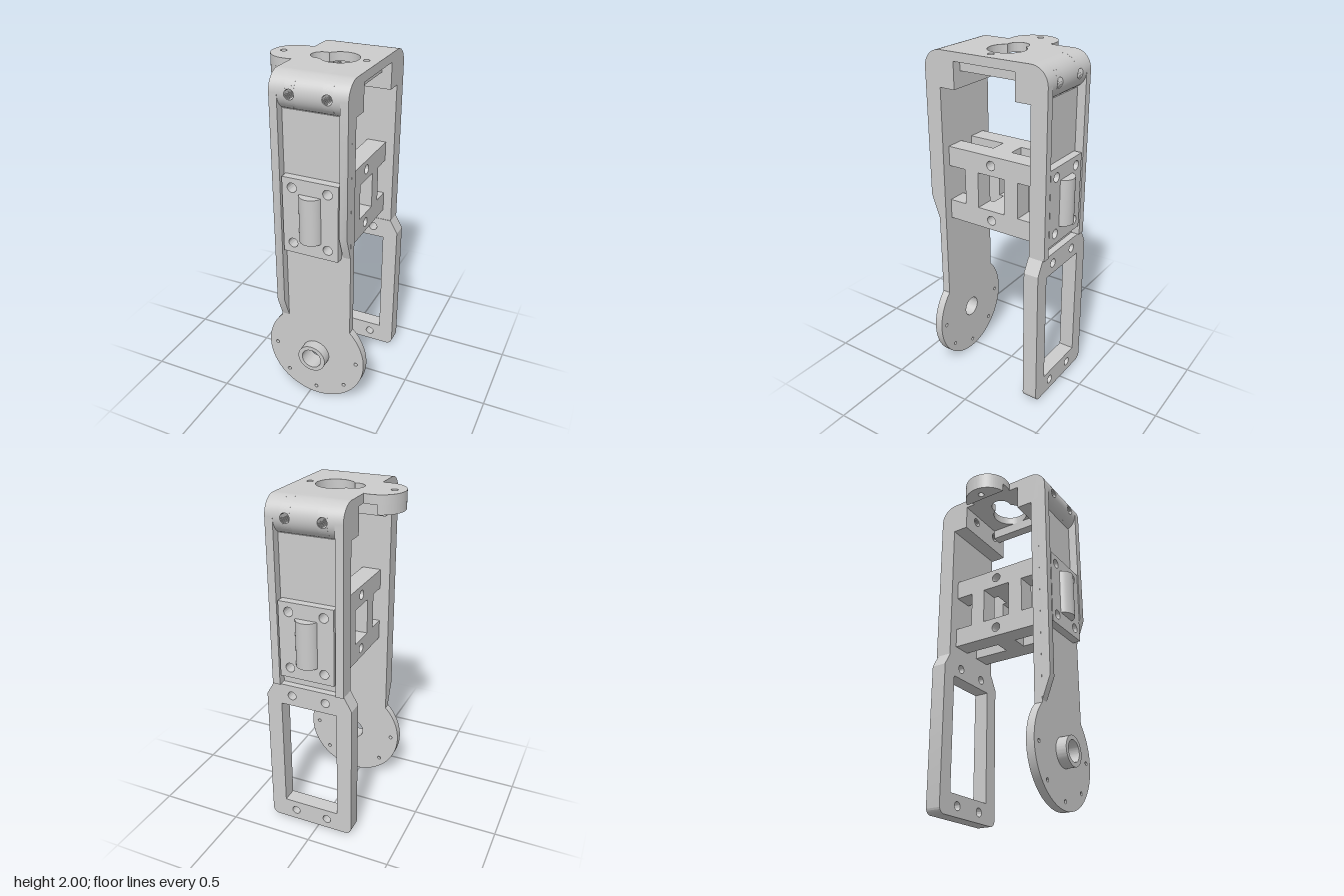
import * as THREE from 'three';
import { toCreasedNormals } from 'three/addons/utils/BufferGeometryUtils.js';

const MAT = new THREE.MeshStandardMaterial({ color: 0xcccccc });
const X0 = -0.175, X1 = 0.255, CX = 0.04;   // body width and its middle
const HOLES = [-0.0625, 0.1425], R = 0.027; // screw columns
const DISC_Y = 0.31;

function mesh(group, name, geometry) {
  const m = new THREE.Mesh(geometry, MAT);
  m.name = name;
  group.add(m);
  return m;
}

function box(group, name, x0, x1, y0, y1, z0, z1) {
  const g = new THREE.BoxGeometry(x1 - x0, y1 - y0, z1 - z0);
  g.translate((x0 + x1) / 2, (y0 + y1) / 2, (z0 + z1) / 2);
  return mesh(group, name, g);
}

const poly = pts => new THREE.Shape(pts.map(p => new THREE.Vector2(p[0], p[1])));
const rect = (a, b, c, d) => poly([[a, c], [b, c], [b, d], [a, d]]);

function drill(shape, x, y, r) {
  shape.holes.push(new THREE.Path().absarc(x, y, r, 0, Math.PI * 2, true));
  return shape;
}

function extrude(shape, depth) {
  const g = new THREE.ExtrudeGeometry(shape, { depth, bevelEnabled: false, curveSegments: 40 });
  return toCreasedNormals(g, 0.5);
}

// Shape in (x, y), thickened from z0 to z1
const alongZ = (shape, z0, z1) => extrude(shape, z1 - z0).translate(0, 0, z0);
// Shape in (-z, y), thickened from x0 to x1
const alongX = (shape, x0, x1) => extrude(shape, x1 - x0).rotateY(Math.PI / 2).translate(x0, 0, 0);
// Shape in (x, z), thickened downwards from y = top
const downY = (shape, top, depth) => extrude(shape, depth).rotateX(Math.PI / 2).translate(0, top, 0);

// Rounded shoulder between heights y0 and y1; s is the side (+1 front, -1 back)
function shoulderSlab(group, s, x0, x1, y0, y1) {
  const pts = [[-0.19 * s, y0]];
  const a0 = Math.asin(Math.max(-1, (y0 - 1.9) / 0.1));
  const a1 = Math.asin(Math.min(1, (y1 - 1.9) / 0.1));
  for (let i = 0; i <= 20; i++) {
    const a = a0 + (a1 - a0) * i / 20;
    pts.push([-(0.28 + 0.1 * Math.cos(a)) * s, 1.9 + 0.1 * Math.sin(a)]);
  }
  pts.push([-0.19 * s, y1]);
  mesh(group, 'shoulder', alongX(poly(pts), x0, x1));
}

// Full shoulder, sliced around its screw holes
function shoulder(group, s) {
  let x = X0;
  for (const hx of HOLES) {
    shoulderSlab(group, s, x, hx - R, 1.8, 2);
    const n = 14;
    for (let i = 0; i < n; i++) {
      const a = hx - R * Math.cos(Math.PI * i / n), b = hx - R * Math.cos(Math.PI * (i + 1) / n);
      const h = R * Math.sin(Math.PI * (i + 0.5) / n);
      shoulderSlab(group, s, a, b, 1.8, 1.9 - h);
      shoulderSlab(group, s, a, b, 1.9 + h, 2);
    }
    x = hx + R;
  }
  shoulderSlab(group, s, x, X1, 1.8, 2);
}

function drillPad(shape) {
  for (const x of HOLES) for (const y of [1.07, 1.4]) drill(shape, x, y, R);
  return shape;
}

// Raised screw pad with a half-round bump
function pad(group, s) {
  const z = [0.33 * s, 0.377 * s].sort((a, b) => a - b);
  mesh(group, 'screwPad', alongZ(drillPad(rect(-0.12, 0.203, 1.01, 1.455)), z[0], z[1]));
  const g = new THREE.CylinderGeometry(0.066, 0.066, 0.27, 40, 1, false, s > 0 ? -Math.PI / 2 : Math.PI / 2, Math.PI);
  mesh(group, 'padBump', g.translate(CX, 1.235, 0.359 * s));
}

export function createModel() {
  const root = new THREE.Group();
  root.name = 'bracket';

  // Top plate with side ear and keyhole opening
  const top = new THREE.Shape();
  const earA = 1.274;
  top.moveTo(X1, -0.28);
  top.lineTo(X1, 0.28);
  top.lineTo(X0, 0.28);
  top.absarc(-0.215, 0, 0.137, earA, Math.PI * 2 - earA, false);
  top.lineTo(X0, -0.28);
  const key = new THREE.Path();
  key.absarc(CX, 0, 0.105, -2.562, 2.562, false);
  key.absarc(-0.065, 0, 0.06, 1.281, Math.PI * 2 - 1.281, false);
  top.holes.push(key);
  drill(top, -0.29, 0, 0.018);
  drill(top, 0.187, 0, 0.018);
  mesh(root, 'topPlate', downY(top, 2, 0.05));

  // Lip under the ear and stop bar under the plate
  const lip = new THREE.Shape();
  lip.absarc(-0.215, 0, 0.137, 1.829, Math.PI * 2 - 1.829, false);
  mesh(root, 'earLip', downY(drill(lip, -0.29, 0, 0.018), 1.95, 0.052));
  box(root, 'stopBar', 0.14, 0.2, 1.89, 1.95, -0.19, 0.19);

  for (const s of [1, -1]) {
    shoulder(root, s);
    pad(root, s);
  }

  // Front wall ending in a round drilled flange
  const front = new THREE.Shape();
  front.moveTo(X1, 1.81);
  front.lineTo(X0, 1.81);
  front.absarc(CX, DISC_Y, 0.305, Math.PI * 0.75, Math.PI * 2.25, false);
  drillPad(front);
  drill(front, CX, DISC_Y, 0.06);
  for (const k of [0, 4, 5, 6, 7]) {
    const a = k * Math.PI / 4;
    drill(front, CX + 0.257 * Math.cos(a), DISC_Y + 0.257 * Math.sin(a), 0.011);
  }
  mesh(root, 'frontWall', alongZ(front, 0.283, 0.33));
  const boss = drill(new THREE.Shape().absarc(CX, DISC_Y, 0.085, 0, Math.PI * 2, false), CX, DISC_Y, 0.06);
  mesh(root, 'flangeBoss', alongZ(boss, 0.33, 0.39));

  // Front rails: the two sides taper off at different heights
  const railShape = (yFull, yEnd) => poly([[-0.283, 1.9], [-0.38, 1.9], [-0.38, yFull], [-0.33, yEnd], [-0.283, yEnd]]);
  mesh(root, 'frontRail', alongX(railShape(0.67, 0.54), X0, -0.13));
  mesh(root, 'frontRail', alongX(railShape(1.16, 1.02), 0.21, X1));

  // Back wall and rails
  mesh(root, 'backWall', alongZ(drillPad(rect(X0, X1, 0.95, 1.81)), -0.33, -0.283));
  box(root, 'backRail', X0, -0.13, 0.95, 1.9, -0.38, -0.283);
  box(root, 'backRail', 0.21, X1, 0.95, 1.9, -0.38, -0.283);

  // Open lower frame at the back
  const frame = new THREE.Shape();
  frame.moveTo(-0.18, 0.02);
  frame.lineTo(0.26, 0.02);
  frame.absarc(0.26, 0.06, 0.04, -Math.PI / 2, 0, false);
  frame.lineTo(0.3, 0.87);
  frame.lineTo(X1, 0.95);
  frame.lineTo(X0, 0.95);
  frame.lineTo(-0.22, 0.87);
  frame.absarc(-0.18, 0.06, 0.04, Math.PI, Math.PI * 1.5, false);
  frame.holes.push(rect(-0.13, 0.21, 0.145, 0.825));
  for (const x of HOLES) for (const y of [0.082, 0.888]) drill(frame, x, y, 0.025);
  mesh(root, 'lowerFrame', alongZ(frame, -0.37, -0.28));

  // H-shaped cross bracket between the walls
  const cross = new THREE.Group();
  cross.name = 'crossBracket';
  root.add(cross);
  const sides = [[-0.118, -0.005, HOLES[0]], [0.09, 0.203, HOLES[1]]];
  for (const [y0, y1, hy] of [[1.015, 1.13, 1.07], [1.34, 1.455, 1.4]]) {
    for (const [a, b, hx] of sides) {
      const arm = drill(rect(a, b, y0, y1), hx, hy, R);
      mesh(cross, 'crossArm', alongZ(arm, 0.06, 0.283));
      mesh(cross, 'crossArm', alongZ(arm, -0.283, -0.06));
      mesh(cross, 'crossHub', alongX(drill(rect(-0.06, 0.06, y0, y1), 0, hy, R), a, b));
    }
    box(cross, 'crossWeb', -0.005, 0.09, y0, y1, -0.06, 0.06);
  }
  for (const [a, b] of sides) {
    box(cross, 'crossPost', a, b, 1.13, 1.34, 0.087, 0.175);
    box(cross, 'crossPost', a, b, 1.13, 1.34, -0.175, -0.087);
  }
  return root;
}
